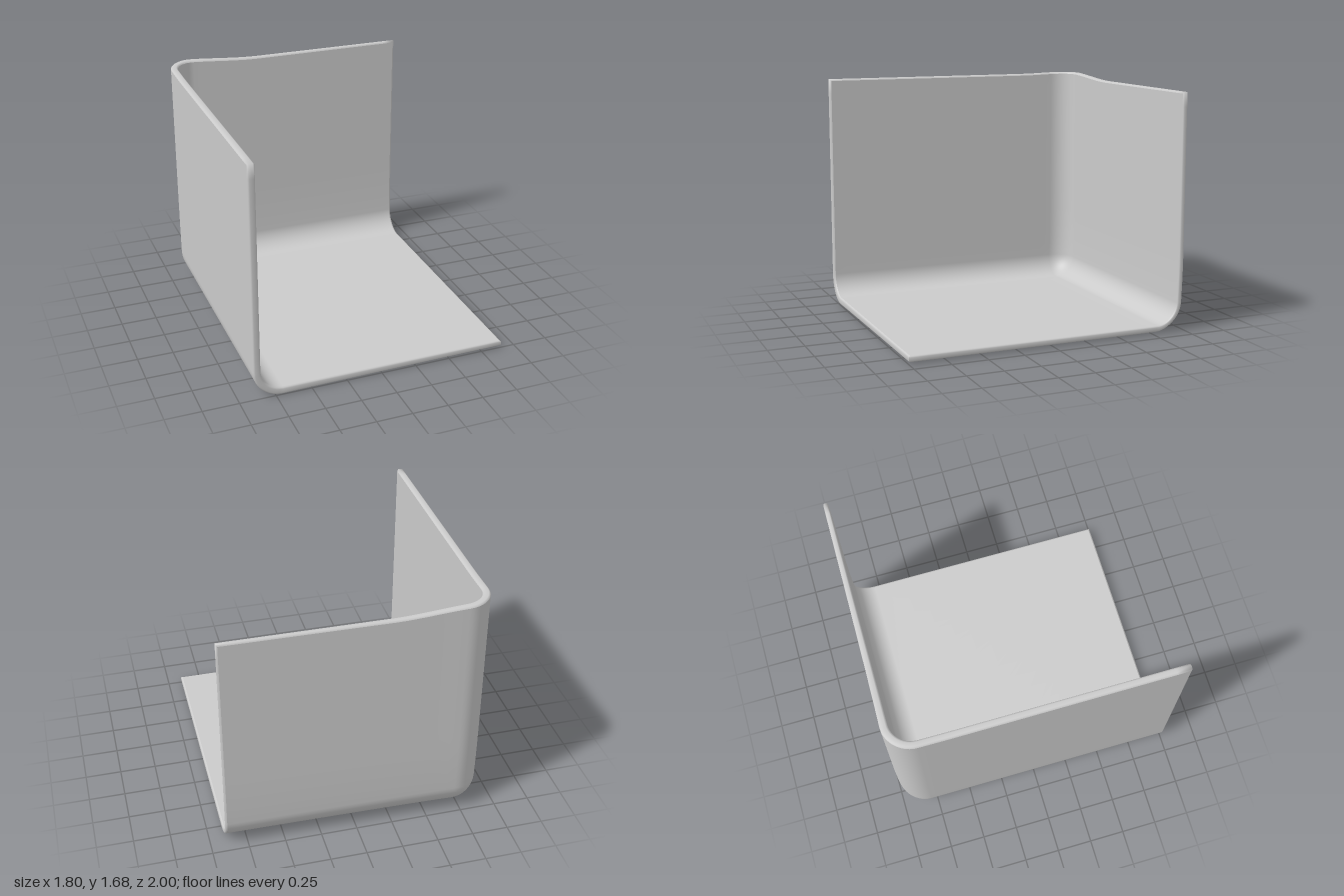
import * as THREE from 'three';

const X_END = 0.9, Z_END = 1, HEIGHT = 1.67, BEVEL = 0.012;
const SIDE = 20, ARC = 12, BACK = 24;            // columns: side wall, corner, back wall
const WALL = 16, FILLET = 12, FLOOR = 14;        // rows: walls, bottom fillet, floor
const NU = SIDE + ARC + BACK, NV = WALL + FILLET + FLOOR;
const clamp = (v) => Math.min(1, Math.max(0, v));
const { lerp, smoothstep } = THREE.MathUtils;

// Slight draft of the back wall, thinning towards the open side, and wavy rim
function warp(p, thin) {
  const nearBack = clamp((-0.6 - p.z) / 0.3), nearFloor = clamp((0.4 - p.y) / 0.35);
  const s = Math.pow(clamp((p.x + 0.75) / 1.65), 0.6);
  const low = Math.pow(clamp(1 - p.y / 0.6), 2);
  const rim = nearBack * (0.01 - 0.035 * smoothstep(p.x, -0.82, -0.2));
  p.z += nearBack * (0.02 * s * thin + 0.02 * low);
  p.y += nearFloor * 0.013 * s * thin + rim * Math.pow(clamp(p.y / HEIGHT), 2);
  return p;
}

// Grid of points: an L-shaped plan swept down the walls, round the fillet, then across the floor
function shellPoints(x0, y0, z0, R, thin) {
  const xe = X_END - BEVEL, ze = Z_END - BEVEL, rows = [];
  for (let j = 0; j <= NV; j++) {
    let r = R, y = y0, cx = x0 + R, cz = z0 + R;
    if (j <= WALL) {
      y = lerp(HEIGHT - BEVEL, y0 + R, j / WALL);
    } else if (j <= WALL + FILLET) {
      const a = ((j - WALL) / FILLET) * Math.PI / 2;
      r = R * Math.cos(a);
      y = y0 + R * (1 - Math.sin(a));
    } else {
      const t = (j - WALL - FILLET) / FLOOR;
      r = 0;
      cx = lerp(cx, xe, t);
      cz = lerp(cz, ze, t);
    }
    const row = [];
    for (let i = 0; i <= NU; i++) {
      const p = new THREE.Vector3(0, y, 0);
      if (i <= SIDE) {
        p.x = cx - r;
        p.z = lerp(ze, cz, i / SIDE);
      } else if (i <= SIDE + ARC) {
        const a = ((i - SIDE) / ARC) * Math.PI / 2;
        p.x = cx - r * Math.cos(a);
        p.z = cz - r * Math.sin(a);
      } else {
        p.x = lerp(cx, xe, (i - SIDE - ARC) / BACK);
        p.z = cz - r;
      }
      row.push(warp(p, thin));
    }
    rows.push(row);
  }
  return rows;
}

// Smooth surface through rows of points
function gridMesh(rows, flip, name, material) {
  const n = rows[0].length, index = [];
  for (let j = 0; j < rows.length - 1; j++) {
    for (let i = 0; i < n - 1; i++) {
      const a = j * n + i, b = a + 1, c = a + n, d = c + 1;
      if (flip) index.push(a, c, b, b, c, d);
      else index.push(a, b, c, b, d, c);
    }
  }
  const geometry = new THREE.BufferGeometry().setFromPoints(rows.flat());
  geometry.setIndex(index);
  geometry.computeVertexNormals();
  const mesh = new THREE.Mesh(geometry, material);
  mesh.name = name;
  return mesh;
}

// Rounded border joining the outer and inner skins
function borderRows(outer, inner) {
  const path = [];
  for (let j = NV; j > 0; j--) path.push([j, 0]);
  for (let i = 0; i < NU; i++) path.push([0, i]);
  for (let j = 0; j <= NV; j++) path.push([j, NU]);
  const section = [[0, 0], [0.08, 0.6], [0.25, 1], [0.75, 1], [0.92, 0.6], [1, 0]];
  return path.map(([j, i]) => {
    const out = new THREE.Vector3(
      i === NU || j === NV ? BEVEL : 0,
      j === 0 ? BEVEL : 0,
      i === 0 || j === NV ? BEVEL : 0
    );
    return section.map(([t, bulge]) =>
      outer[j][i].clone().lerp(inner[j][i], t).addScaledVector(out, bulge));
  });
}

export function createModel() {
  const group = new THREE.Group();
  group.name = 'cornerShell';
  const material = new THREE.MeshStandardMaterial({ color: 0xcccccc, side: THREE.DoubleSide });
  const outer = shellPoints(-0.9, 0, -1, 0.2, 1);
  const inner = shellPoints(-0.85, 0.055, -0.945, 0.15, 0);
  group.add(
    gridMesh(outer, false, 'outerSkin', material),
    gridMesh(inner, true, 'innerSkin', material),
    gridMesh(borderRows(outer, inner), false, 'roundedBorder', material)
  );
  return group;
}
